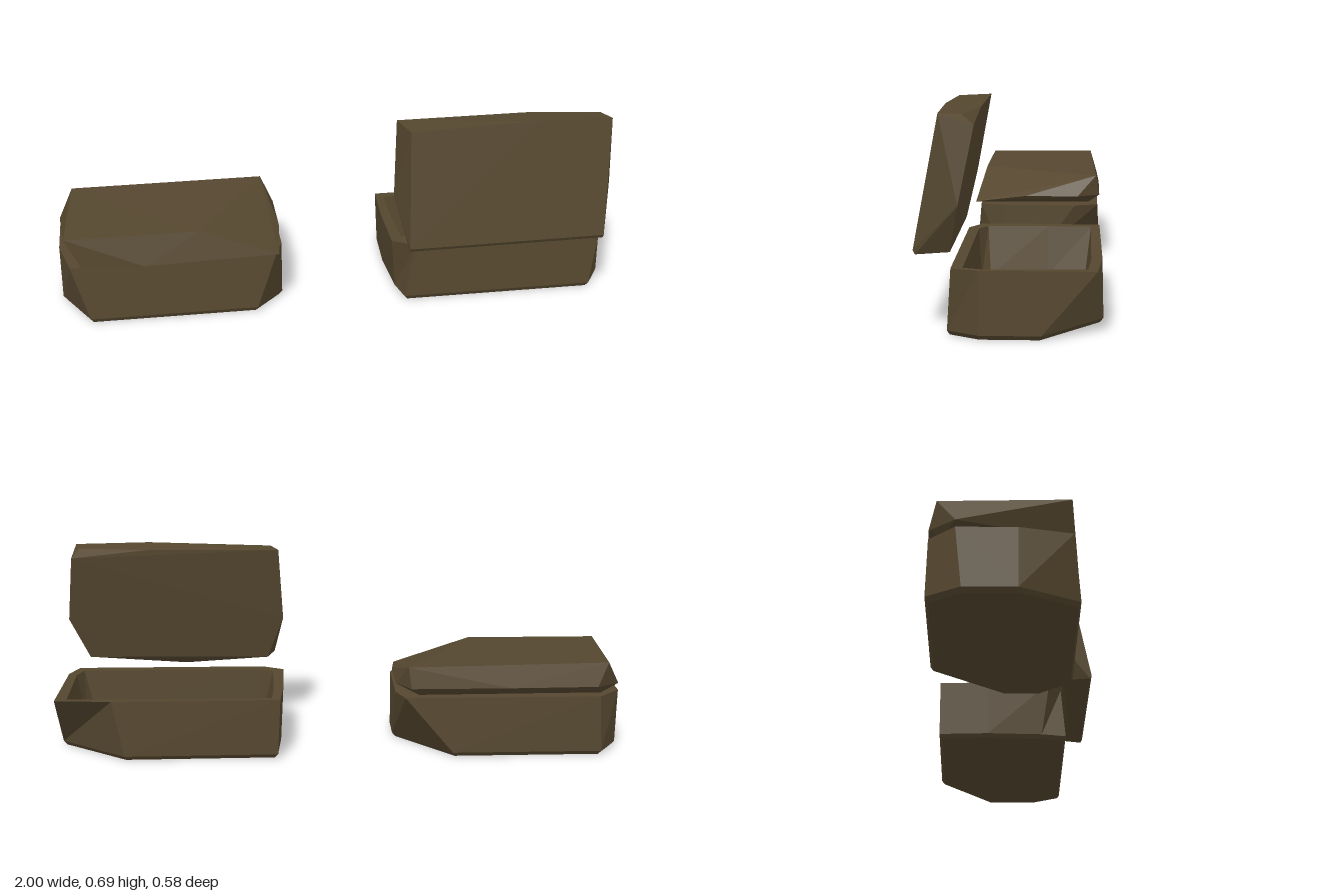
import * as THREE from 'three';
import { ConvexGeometry } from 'three/addons/geometries/ConvexGeometry.js';

const leather = new THREE.MeshStandardMaterial({ color: 0x55472f, flatShading: true });
leather.name = 'darkBrown';

// Faceted solid wrapped around a few corner points
function hull(name, points) {
  const mesh = new THREE.Mesh(new ConvexGeometry(points.map(p => new THREE.Vector3(...p))), leather);
  mesh.name = name;
  return mesh;
}

// Skin through matching loops of [x, y, z]; each loop runs counter-clockwise seen from above.
// The first and last loops are capped.
function loft(name, loops) {
  const n = loops[0].length;
  const pos = [];
  const tri = (a, b, c) => pos.push(...a, ...b, ...c);
  for (let k = 0; k < loops.length - 1; k++) {
    const lo = loops[k], hi = loops[k + 1];
    for (let i = 0; i < n; i++) {
      const j = (i + 1) % n;
      tri(lo[i], lo[j], hi[j]);
      tri(lo[i], hi[j], hi[i]);
    }
  }
  const first = loops[0], last = loops[loops.length - 1];
  for (let i = 1; i < n - 1; i++) {
    tri(first[0], first[i + 1], first[i]);
    tri(last[0], last[i], last[i + 1]);
  }
  const geo = new THREE.BufferGeometry();
  geo.setAttribute('position', new THREE.Float32BufferAttribute(pos, 3));
  geo.computeVertexNormals();
  const mesh = new THREE.Mesh(geo, leather);
  mesh.name = name;
  return mesh;
}

const atHeight = (y, outline) => outline.map(([x, z]) => [x, y, z]);

function closedCrate() {
  const crate = new THREE.Group();
  crate.name = 'closedCrate';
  // Lower box, cut back at its rear right corner
  const foot = [[-0.9, 0.19], [-0.3, 0.19], [-0.2, 0.08], [-0.2, -0.04], [-0.4, -0.285], [-0.93, -0.28], [-1, -0.17], [-1, 0]];
  const sole = foot.map(([x, z]) => [-0.6 + (x + 0.6) * 0.97, z * 0.96]);
  const rim = [[-0.96, 0.17], [-0.23, 0.17], [-0.2, 0.08], [-0.2, -0.19], [-0.23, -0.275], [-0.92, -0.275], [-1, -0.19], [-1, 0]];
  crate.add(hull('closedBase', [...atHeight(0, sole), ...atHeight(0.015, foot), ...atHeight(0.215, rim)]));
  // Lid with a sloping front right corner
  crate.add(hull('closedLid', [
    [-0.975, 0.325, 0.165], [-0.5, 0.325, 0.165], [-0.24, 0.325, -0.27], [-0.95, 0.332, -0.25],
    [-0.22, 0.225, 0.19], [-0.7, 0.217, 0.195], [-0.92, 0.217, 0.175],
    [-0.2, 0.25, 0], [-0.2, 0.25, -0.2], [-0.25, 0.25, -0.283], [-0.6, 0.25, -0.283],
    [-0.91, 0.25, -0.275], [-1, 0.24, -0.19], [-0.93, 0.217, -0.23], [-0.28, 0.217, -0.24],
  ]));
  return crate;
}

function openCrate() {
  const crate = new THREE.Group();
  crate.name = 'openCrate';
  // Hollow box: sole, outer wall, rim, inner wall, floor
  const foot = [[0.24, 0.19], [0.94, 0.19], [1, 0.09], [1, -0.1], [0.76, -0.29], [0.22, -0.28], [0.21, -0.1], [0.22, 0.1]];
  const sole = foot.map(([x, z]) => [0.6 + (x - 0.6) * 0.97, z * 0.96]);
  const rim = [[0.28, 0.175], [0.97, 0.175], [1, 0.09], [1, -0.27], [0.8, -0.285], [0.21, -0.28], [0.2, -0.1], [0.2, 0.13]];
  const inner = [[0.29, 0.14], [0.95, 0.14], [0.97, 0.08], [0.96, -0.24], [0.8, -0.25], [0.24, -0.25], [0.235, -0.1], [0.24, 0.11]];
  const floor = [[0.3, 0.13], [0.91, 0.13], [0.94, 0.08], [0.94, -0.1], [0.76, -0.23], [0.28, -0.23], [0.27, -0.1], [0.28, 0.1]];
  crate.add(loft('openBase', [
    atHeight(0, sole), atHeight(0.015, foot), atHeight(0.215, rim),
    atHeight(0.213, inner), atHeight(0.045, floor),
  ]));
  // Lid leaning upright in front of the box
  crate.add(hull('leaningLid', [
    [0.245, 0.675, 0.21], [0.7, 0.69, 0.212], [0.97, 0.685, 0.21], [0.945, 0.265, 0.292], [0.235, 0.26, 0.292],
    [0.235, 0.248, 0.285], [0.945, 0.252, 0.285], [0.57, 0.223, 0.215], [0.26, 0.25, 0.185], [0.93, 0.257, 0.18],
    [0.2, 0.41, 0.15], [1, 0.41, 0.15], [0.215, 0.678, 0.1], [0.7, 0.68, 0.1], [0.975, 0.65, 0.102], [0.95, 0.68, 0.14],
  ]));
  return crate;
}

export function createModel() {
  const model = new THREE.Group();
  model.name = 'twoCrates';
  model.add(closedCrate(), openCrate());
  return model;
}
